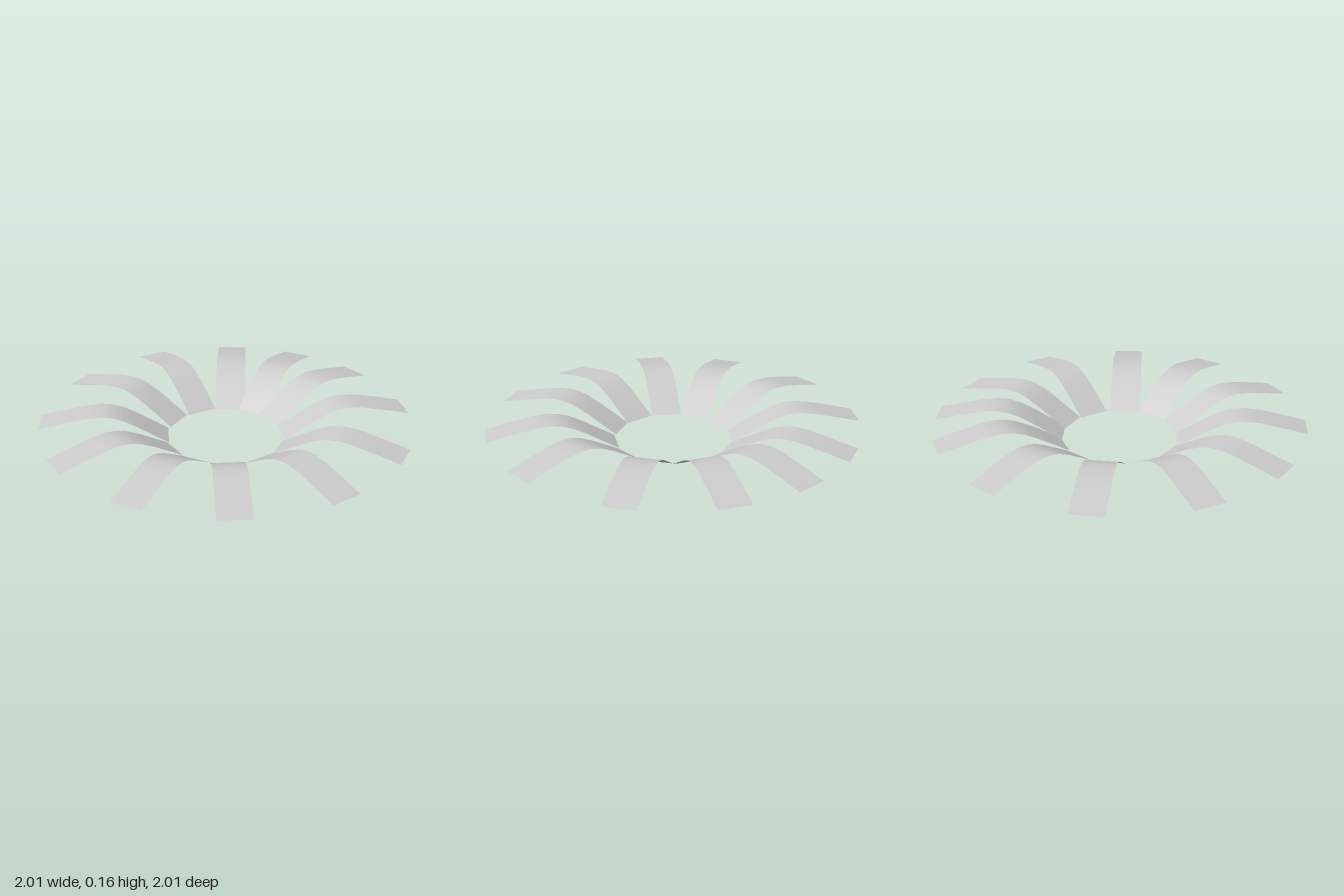
import * as THREE from 'three';

// Petal cross-section: [radius, height] from the inner ring to the tip
const PROFILE = [
  [0.31, 0], [0.40, 0.053], [0.48, 0.1], [0.55, 0.135], [0.61, 0.154],
  [0.67, 0.16], [0.75, 0.153], [0.87, 0.129], [1.0, 0.1],
];
// Slightly irregular headings, clockwise from the back, in degrees
const HEADINGS = [0, 24.2, 48.4, 78.8, 112.8, 143.2, 175, 204.8, 235.6, 265, 298, 330];
const WIDTH = 0.17;
const SIDE_SHIFT = 0.017;

// Flat strip bent along the profile, pointing to -z
function petalGeometry() {
  const last = PROFILE.length - 1;
  const geometry = new THREE.PlaneGeometry(WIDTH, 1, 1, last);
  const pos = geometry.attributes.position;
  for (let i = 0; i < pos.count; i++) {
    const [radius, height] = PROFILE[last - Math.floor(i / 2)];
    pos.setXYZ(i, pos.getX(i) + SIDE_SHIFT, height, -radius);
  }
  geometry.computeVertexNormals();
  return geometry;
}

export function createModel() {
  const group = new THREE.Group();
  group.name = 'petalRing';
  const material = new THREE.MeshStandardMaterial({ color: 0xcccccc, side: THREE.DoubleSide });
  const geometry = petalGeometry();

  // Petals around the open centre
  HEADINGS.forEach((heading, i) => {
    const petal = new THREE.Mesh(geometry, material);
    petal.name = `petal${i + 1}`;
    petal.rotation.y = -THREE.MathUtils.degToRad(heading);
    group.add(petal);
  });
  return group;
}
